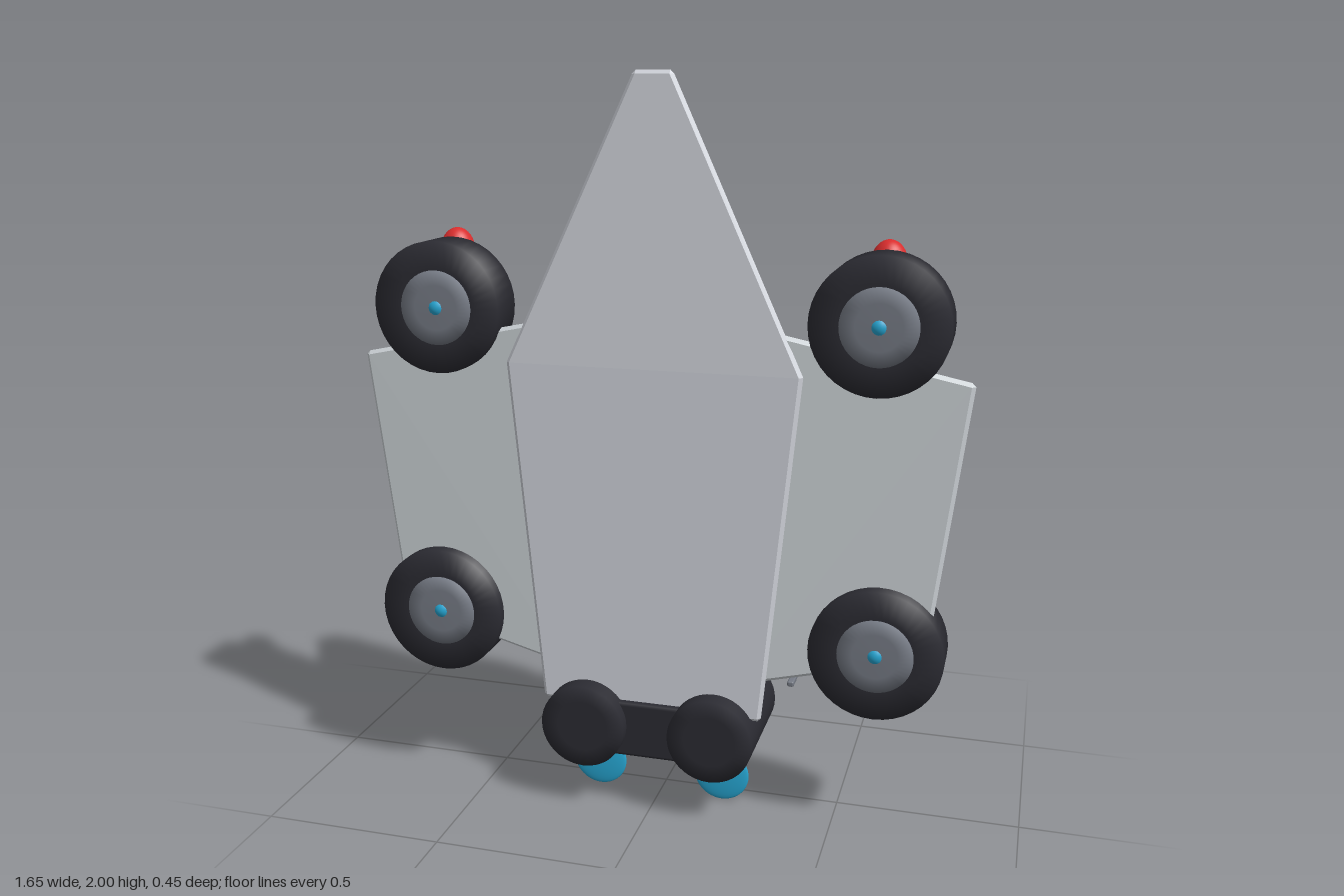
import * as THREE from 'three';
import { ConvexGeometry } from 'three/addons/geometries/ConvexGeometry.js';
import { RoundedBoxGeometry } from 'three/addons/geometries/RoundedBoxGeometry.js';

const paint = (name, color) => {
  const m = new THREE.MeshStandardMaterial({ color });
  m.name = name;
  return m;
};

export function createModel() {
  const hullGrey = paint('hull grey', 0xd0d3da);
  const wingGrey = paint('wing grey', 0xcdd3d7);
  const black = paint('rubber black', 0x2b2b32);
  const steel = paint('steel grey', 0x757a84);
  const cyan = paint('glow cyan', 0x27a9d6);
  const red = paint('signal red', 0xd92d2d);
  const glass = paint('canopy blue', 0x2d5f85);
  const blue = paint('fin blue', 0x295bb0);
  const gold = paint('gold', 0xb8922b);

  const model = new THREE.Group();
  model.name = 'spacecraft';

  function add(name, geometry, material, x = 0, y = 0, z = 0) {
    const mesh = new THREE.Mesh(geometry, material);
    mesh.name = name;
    mesh.position.set(x, y, z);
    model.add(mesh);
    return mesh;
  }

  // Convex solid with narrow bevels: every corner becomes a tiny octahedron
  function bevelled(corners, r) {
    const pts = [];
    for (const [x, y, z] of corners) {
      for (const d of [-r, r]) {
        pts.push(new THREE.Vector3(x + d, y, z), new THREE.Vector3(x, y + d, z), new THREE.Vector3(x, y, z + d));
      }
    }
    return new ConvexGeometry(pts);
  }

  // Softly shaded drum lying along z, with slightly domed ends
  function drum(r, half, dome = 0) {
    const profile = [[0, -half - dome], [r * 0.6, -half - dome * 0.7], [r, -half], [r, half], [r * 0.6, half + dome * 0.7], [0, half + dome]];
    return new THREE.LatheGeometry(profile.map(([x, y]) => new THREE.Vector2(x, y)), 40).rotateX(Math.PI / 2);
  }

  const ellipsoid = (rx, ry, rz) => new THREE.SphereGeometry(1, 36, 24).scale(rx, ry, rz);
  const box = (w, h, d, r) => new RoundedBoxGeometry(w, h, d, 2, r);

  // Fuselage: flat belly towards +z, narrower deck towards -z
  const half = [
    [0.045, 1.99, 0.125], [0.39, 1.25, 0.153], [0.30, 0.31, 0.163],
    [0.042, 1.945, 0.07], [0.29, 1.25, 0.004], [0.21, 0.535, -0.066], [0.20, 0.51, -0.06],
  ];
  add('fuselage', bevelled([...half, ...half.map(([x, y, z]) => [-x, y, z])], 0.01), hullGrey);

  // Canopy and rear fittings
  add('canopy', ellipsoid(0.21, 0.33, 0.137), glass, 0, 1.01, -0.088);
  add('rearWing', box(0.535, 0.1, 0.025, 0.01), blue, 0, 0.34, -0.165);
  add('engineBridge', box(0.26, 0.16, 0.19, 0.01), black, 0, 0.24, 0.095);
  add('rearVent', box(0.13, 0.04, 0.06, 0.008), steel, 0, 0.4, 0.03);

  for (const s of [1, -1]) {
    const side = s > 0 ? 'left' : 'right';

    // Wing block with chamfered outer edge
    const wing = [
      [0.815, 1.245, 0.125], [0.727, 0.52, 0.125], [0.25, 1.365, 0.145], [0.25, 0.405, 0.145],
      [0.765, 1.23, 0.075], [0.69, 0.54, 0.075], [0.28, 1.33, 0.037], [0.28, 0.45, 0.037],
    ];
    add(side + 'Wing', bevelled(wing.map(([x, y, z]) => [x * s, y, z]), 0.01), wingGrey);

    // Wheel pods at the wing corners
    for (const [place, x, y] of [['Upper', 0.588, 1.39], ['Lower', 0.61, 0.53]]) {
      add(side + place + 'Wheel', drum(0.177, 0.06, 0.003), black, x * s, y, 0.117);
      add(side + place + 'Hub', drum(0.1, 0.063, 0.003), steel, x * s, y, 0.117);
      add(side + place + 'HubCap', ellipsoid(0.046, 0.046, 0.072), cyan, x * s, y, 0.117);
    }

    // Signal lamp on a post behind the upper wheel
    add(side + 'LampPost', box(0.056, 0.175, 0.056, 0.018), black, 0.588 * s, 1.348, 0.022);
    add(side + 'Lamp', ellipsoid(0.048, 0.064, 0.046), red, 0.588 * s, 1.525, 0.02);

    // Leaning side fin
    const fin = add(side + 'Fin', box(0.032, 0.35, 0.158, 0.012), blue, 0.652 * s, 0.847, -0.02);
    fin.rotation.y = -s * 0.15;

    // Gold rail and small rear antenna
    add(side + 'Rail', box(0.026, 0.19, 0.016, 0.006), gold, 0.327 * s, 1.205, -0.044);
    add(side + 'Antenna', box(0.019, 0.016, 0.112, 0.005), steel, 0.358 * s, 0.342, -0.06);

    // Main engine and its flattened exhaust glow
    add(side + 'Engine', drum(0.118, 0.16), black, 0.18 * s, 0.25, 0.063);
    add(side + 'ExhaustGlow', ellipsoid(0.078, 0.078, 0.01), cyan, 0.18 * s, 0.078, 0.065);
  }

  return model;
}
